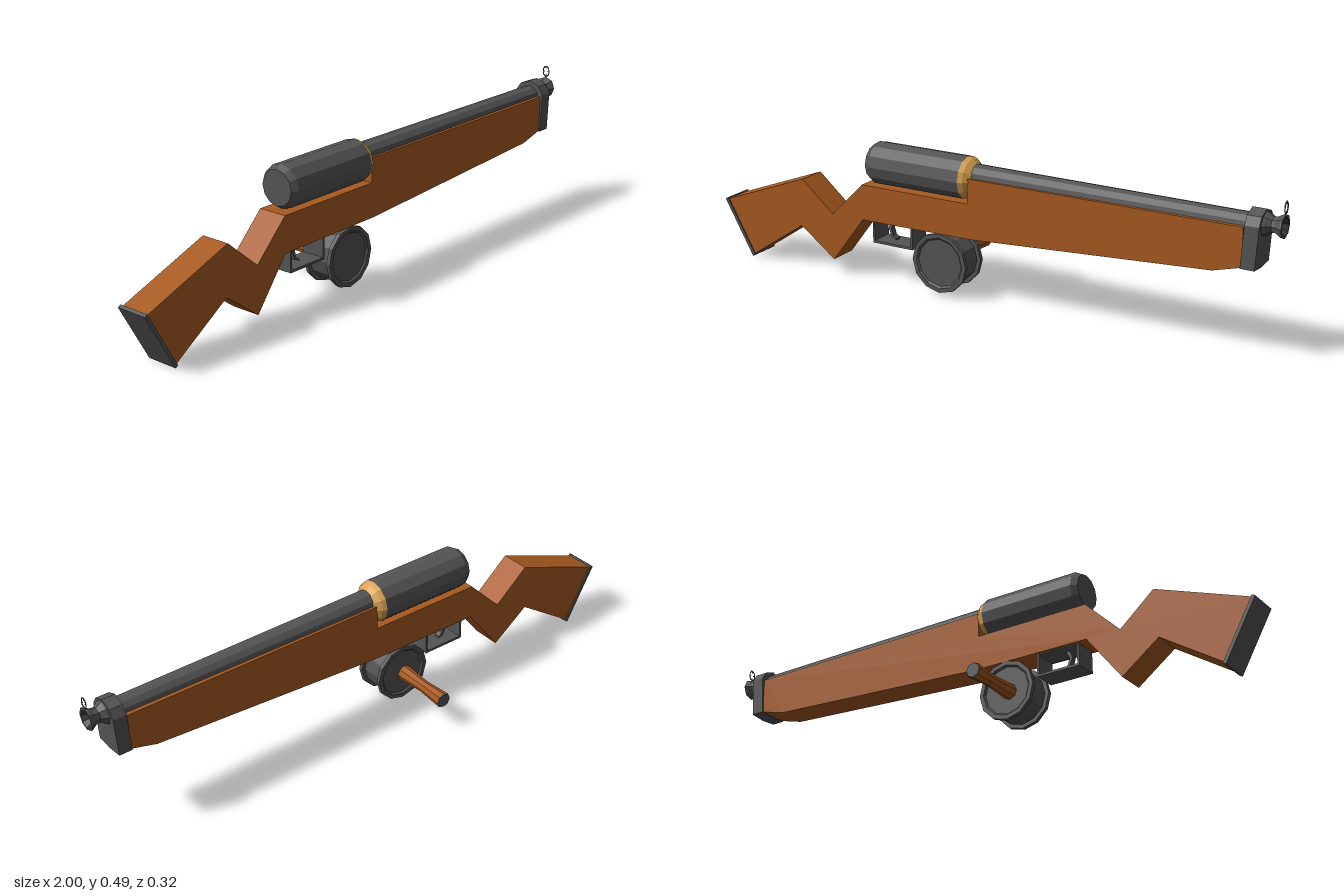
import * as THREE from 'three';

const mat = (color) => new THREE.MeshStandardMaterial({ color, flatShading: true, side: THREE.DoubleSide });
const Z = 0.09; // centre plane of the gun

export function createModel() {
  const root = new THREE.Group();
  const wood = mat(0xa85a20), metal = mat(0x555555), tan = mat(0xd9a352), dark = mat(0x3a3a3a);

  const add = (name, geo, material, parent = root) => {
    const m = new THREE.Mesh(geo, material);
    m.name = name;
    parent.add(m);
    return m;
  };
  const outline = (pts) => new THREE.Shape(pts.map(([x, y]) => new THREE.Vector2(x, y)));
  // side outline extruded across the gun, centred on its plane
  const slab = (name, pts, width, material, hole) => {
    const s = outline(pts);
    if (hole) s.holes.push(outline(hole));
    const g = new THREE.ExtrudeGeometry(s, { depth: width, bevelEnabled: false });
    g.translate(0, 0, Z - width / 2);
    return add(name, g, material);
  };
  // [radius, x] profile turned around the x axis at height y
  const turned = (name, prof, y, sides, material) => {
    const g = new THREE.LatheGeometry(prof.map(([r, x]) => new THREE.Vector2(r, x)), sides);
    g.rotateZ(-Math.PI / 2);
    g.translate(0, y, Z);
    return add(name, g, material);
  };
  // [radius, z] profile turned around the z axis
  const turnedZ = (name, prof, x, y, sides, material) => {
    const g = new THREE.LatheGeometry(prof.map(([r, z]) => new THREE.Vector2(r, z)), sides);
    g.rotateX(Math.PI / 2);
    g.translate(x, y, 0);
    return add(name, g, material);
  };

  // wooden stock and fore-end
  slab('stock', [[-0.995, 0.19], [-0.885, 0.012], [-0.68, 0.148], [-0.55, 0.052], [-0.43, 0.21],
    [-0.02, 0.214], [0.8, 0.265], [0.89, 0.29], [0.89, 0.412], [-0.03, 0.412], [-0.03, 0.33],
    [-0.43, 0.33], [-0.55, 0.21], [-0.67, 0.312]], 0.1, wood);
  slab('buttPlate', [[-1, 0.192], [-0.892, 0.002], [-0.882, 0.008], [-0.99, 0.198]], 0.108, metal);

  // receiver, its front collar and the barrel
  turned('receiver', [[0, -0.41], [0.058, -0.41], [0.07, -0.39], [0.07, -0.055]], 0.4, 12, metal);
  turned('receiverCollar', [[0.07, -0.055], [0.064, -0.04], [0.045, -0.02], [0, -0.02]], 0.4, 12, tan);
  turned('barrel', [[0, -0.05], [0.043, -0.05], [0.038, 0.93], [0, 0.93]], 0.406, 12, metal);

  // front band wrapped round barrel and fore-end
  const bandShape = outline([[-0.055, 0.288], [0, 0.283], [0.055, 0.288], [0.055, 0.42],
    [0.038, 0.447], [0, 0.462], [-0.038, 0.447], [-0.055, 0.42]]);
  const band = new THREE.ExtrudeGeometry(bandShape, { depth: 0.045, bevelEnabled: false });
  band.rotateY(Math.PI / 2);
  band.translate(0.887, 0, Z);
  // lean the upper part forward a little
  const bp = band.attributes.position;
  for (let i = 0; i < bp.count; i++) if (bp.getY(i) > 0.4) bp.setX(i, bp.getX(i) + 0.008);
  add('frontBand', band, metal);

  // flared muzzle with a hollow bore
  turned('muzzle', [[0.042, 0.93], [0.036, 0.945], [0.024, 0.962], [0.026, 0.975], [0.037, 0.992],
    [0.037, 0.997], [0.03, 0.997]], 0.418, 8, metal);
  turned('bore', [[0.03, 0.997], [0, 0.95]], 0.418, 8, dark);

  // oval ring sight with short cross posts
  const sight = new THREE.Group();
  sight.name = 'frontSight';
  const ring = add('sightRing', new THREE.TorusGeometry(0.0125, 0.002, 4, 12), metal, sight);
  ring.scale.y = 1.45;
  for (let i = 0; i < 4; i++) {
    const a = i * Math.PI / 2, r = i % 2 ? 0.0135 : 0.009;
    const post = add('sightPost', new THREE.BoxGeometry(0.007, 0.002, 0.002), metal, sight);
    post.position.set(Math.cos(a) * r, Math.sin(a) * r, 0);
    post.rotation.z = a;
  }
  sight.rotation.y = Math.PI / 2;
  sight.position.set(0.997, 0.475, Z);
  root.add(sight);

  // trigger guard and trigger
  slab('triggerGuard', [[-0.397, 0.135], [-0.244, 0.135], [-0.244, 0.215], [-0.397, 0.215]], 0.08, metal,
    [[-0.39, 0.143], [-0.39, 0.208], [-0.251, 0.208], [-0.251, 0.143]]);
  slab('trigger', [[-0.345, 0.212], [-0.355, 0.185], [-0.345, 0.155], [-0.325, 0.147], [-0.325, 0.153],
    [-0.338, 0.162], [-0.345, 0.185], [-0.33, 0.212]], 0.02, metal);

  // drum: two flanges with recessed faces around a smaller core
  const h = 0.053;
  turnedZ('drum', [[0, Z - h + 0.006], [0.08, Z - h + 0.006], [0.086, Z - h], [0.1, Z - h], [0.1, Z - 0.039],
    [0.087, Z - 0.039], [0.087, Z + 0.039], [0.1, Z + 0.039], [0.1, Z + h], [0.086, Z + h],
    [0.08, Z + h - 0.006], [0, Z + h - 0.006]], -0.135, 0.114, 12, metal);

  // crank handle on the right-hand side
  turnedZ('handle', [[0.026, -0.156], [0.02, -0.06], [0.026, 0.045]], -0.145, 0.106, 8, wood);
  turnedZ('handleCap', [[0, -0.16], [0.024, -0.16], [0.0265, -0.156], [0, -0.155]], -0.145, 0.106, 8, metal);

  return root;
}
